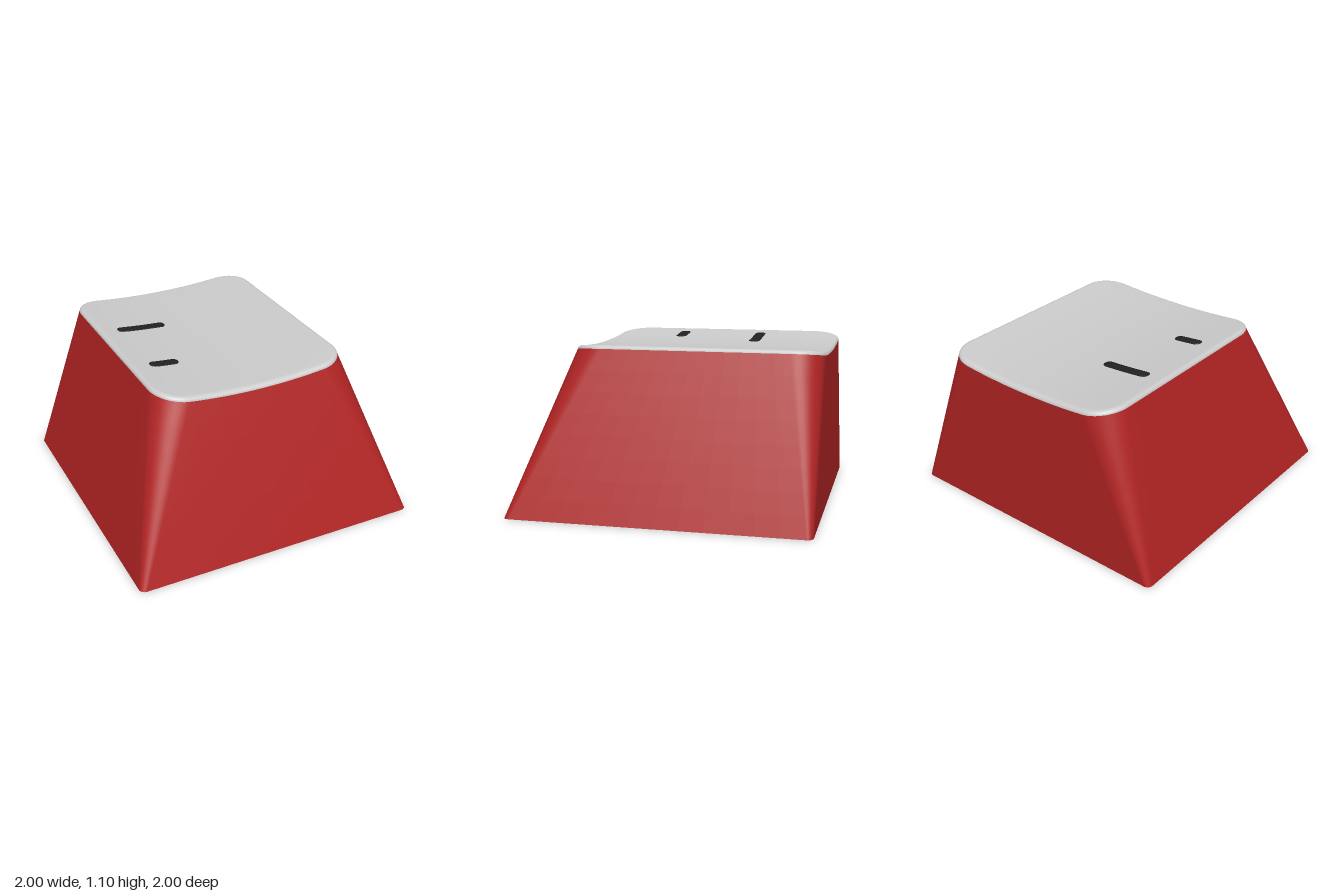
import * as THREE from 'three';

const TOP = 1.08;                       // height of the wall at its side edges
const dish = x => 0.05 * (x / 0.675) ** 2;
const wallTop = x => 1.03 + dish(x);
const RISE = 0.027;                     // thickness of the top cover

// Rounded rectangle in x/z as a closed list of points
function outline(hx, z0, z1, r, arc = 10, edge = 12) {
  const centres = [[hx - r, z1 - r], [-hx + r, z1 - r], [-hx + r, z0 + r], [hx - r, z0 + r]];
  const pts = [];
  centres.forEach(([cx, cz], c) => {
    for (let i = 0; i <= arc; i++) {
      const a = (c + i / arc) * Math.PI / 2;
      pts.push([cx + r * Math.cos(a), cz + r * Math.sin(a)]);
    }
    const [px, pz] = pts[pts.length - 1];
    const [nx, nz] = centres[(c + 1) % 4];
    const b = (c + 1) * Math.PI / 2;
    const qx = nx + r * Math.cos(b), qz = nz + r * Math.sin(b);
    for (let i = 1; i < edge; i++) {
      const t = i / edge;
      pts.push([px + (qx - px) * t, pz + (qz - pz) * t]);
    }
  });
  return pts;
}

// Skin a list of closed rings
function loft(rings) {
  const n = rings[0].length, index = [];
  for (let k = 0; k < rings.length - 1; k++) {
    for (let i = 0; i < n; i++) {
      const j = (i + 1) % n, a = k * n + i, b = k * n + j;
      index.push(a, a + n, b, b, a + n, b + n);
    }
  }
  const g = new THREE.BufferGeometry();
  g.setAttribute('position', new THREE.Float32BufferAttribute(rings.flat(2), 3));
  g.setIndex(index);
  g.computeVertexNormals();
  return g;
}

// Ring on the sloping wall at fraction k of its height, optionally inset and raised
function wallRing(k, inset = 0, up = 0) {
  const low = outline(1 - inset, -1 + inset, 1 - inset, 0.04 - inset);
  const high = outline(0.675 - inset, -1 + inset, 0.63 - inset, 0.2 - inset);
  return high.map(([x, z], i) => {
    const y = k * wallTop(x), s = y / TOP;
    return [low[i][0] + (x - low[i][0]) * s, y + up, low[i][1] + (z - low[i][1]) * s];
  });
}

// Shrink a ring towards a centre while following the dished top
const shrink = (ring, s, cx, cz, lift) => ring.map(([x, , z]) => {
  const px = cx + (x - cx) * s;
  return [px, wallTop(px) + lift, cz + (z - cz) * s];
});

const flatRing = (pts, y) => pts.map(([x, z]) => [x, y, z]);

export function createModel() {
  const group = new THREE.Group();
  const red = new THREE.MeshStandardMaterial({ color: 0xb22424 });
  const redFlat = new THREE.MeshStandardMaterial({ color: 0xb22424, flatShading: true });
  const grey = new THREE.MeshStandardMaterial({ color: 0xcccccc });
  const black = new THREE.MeshStandardMaterial({ color: 0x222222 });
  const add = (name, geometry, material) => {
    const mesh = new THREE.Mesh(geometry, material);
    mesh.name = name;
    group.add(mesh);
    return mesh;
  };

  // Outer walls
  const walls = [];
  for (let k = 0; k <= 8; k++) walls.push(wallRing(k / 8));
  add('outerWalls', loft(walls), red);

  // Dished top cover with a rounded edge
  const cover = [];
  for (let i = 0; i <= 6; i++) {
    const a = i / 6 * Math.PI / 2;
    cover.push(wallRing(1, 0.038 * (1 - Math.cos(a)), RISE * Math.sin(a)));
  }
  const edge = cover[cover.length - 1];
  for (let i = 11; i >= 0; i--) cover.push(shrink(edge, i / 12, 0, -0.185, RISE));
  add('topCover', loft(cover), grey);

  // Hollow underside: rim, inner walls and ceiling
  const CEILING = 0.86;
  const mouth = flatRing(outline(0.84, -0.84, 0.84, 0.001), 0);
  const roof = flatRing(outline(0.58, -0.84, 0.56, 0.001), CEILING);
  add('bottomRim', loft([mouth, wallRing(0)]), redFlat);
  add('innerWalls', loft([roof, mouth]), redFlat);
  add('ceiling', loft([roof.map(() => [0, CEILING, -0.14]), roof]), redFlat);

  // Stem with a cross-shaped socket
  const shape = new THREE.Shape().absarc(0, 0, 0.337, 0, Math.PI * 2);
  const l = 0.245, w = 0.07;
  const cross = [];
  for (let q = 0; q < 4; q++) {
    const c = Math.round(Math.cos(q * Math.PI / 2)), s = Math.round(Math.sin(q * Math.PI / 2));
    for (const [x, y] of [[l, -w], [l, w], [w, w]]) {
      cross.push(new THREE.Vector2(x * c - y * s, x * s + y * c));
    }
  }
  shape.holes.push(new THREE.Path(cross));
  const stem = new THREE.ExtrudeGeometry(shape, { depth: CEILING - 0.115, bevelEnabled: false, curveSegments: 32 });
  stem.rotateX(-Math.PI / 2).translate(0, 0.115, 0);
  add('stem', stem, red);

  // Two dark inlaid bars on the top
  for (const [name, x0, x1, zc] of [['rearBar', -0.54, -0.19, -0.425], ['frontBar', -0.54, -0.34, 0.145]]) {
    const cx = (x0 + x1) / 2;
    const pill = outline((x1 - x0) / 2, -0.036, 0.036, 0.032, 6, 8).map(([x, z]) => [x + cx, 0, z + zc]);
    const rings = [shrink(pill, 1, cx, zc, RISE - 0.01)];
    for (let i = 6; i >= 0; i--) rings.push(shrink(pill, i / 6, cx, zc, RISE + 0.003));
    add(name, loft(rings), black);
  }
  return group;
}
